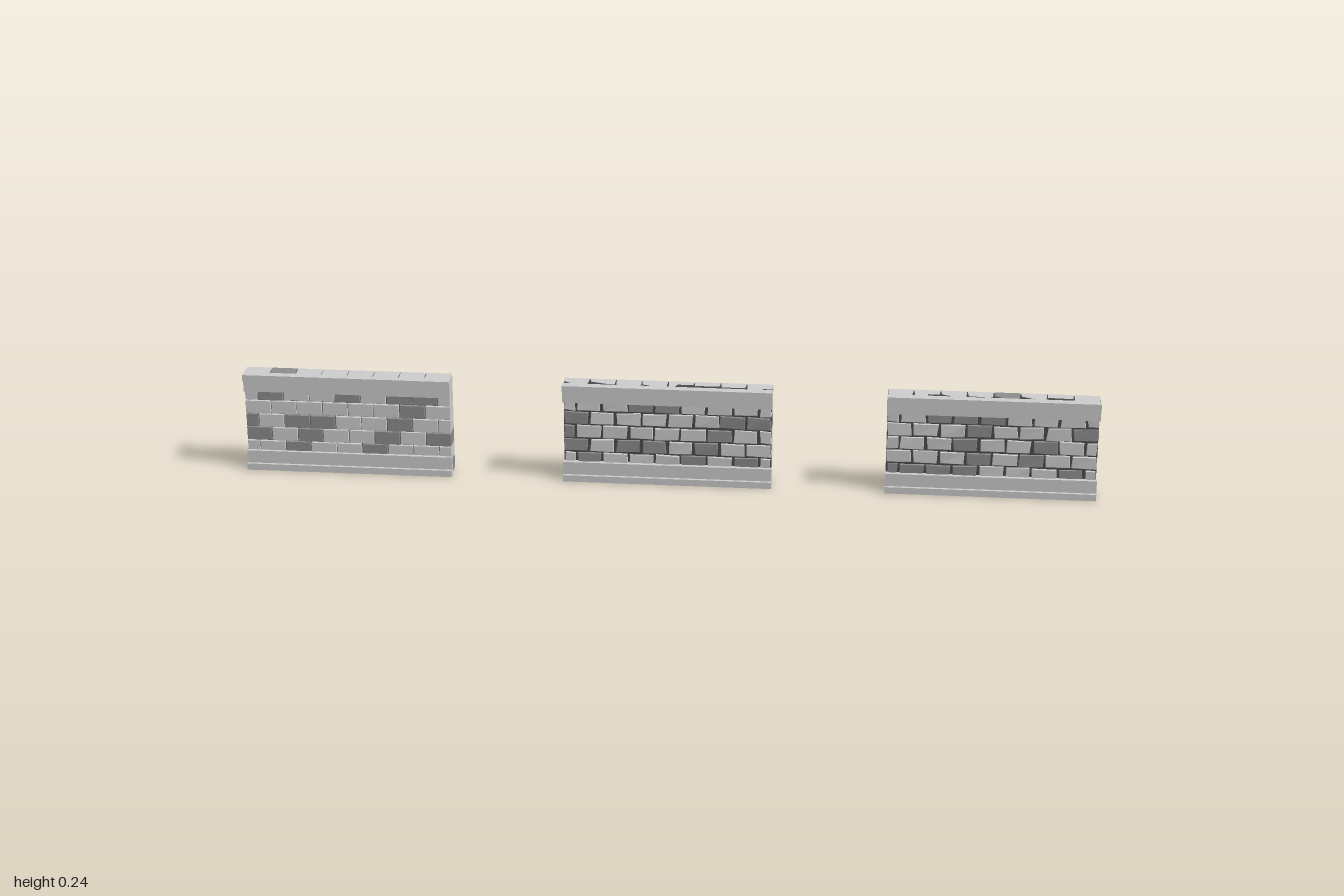
import * as THREE from 'three';
import { mergeGeometries } from 'three/addons/utils/BufferGeometryUtils.js';

const W = 0.49, H = 0.242;            // one wall panel
const ROWS = 7, COLS = 8, BASE = 0.003;
const ROW_H = (H - BASE) / ROWS, BRICK_W = W / COLS;
const BACK = -0.027, FRONT = 0.0145;
const GAP = 0.0014, BEVEL = 0.0009;

const light = new THREE.MeshStandardMaterial({ color: 0xcccccc, flatShading: true });
const dark = new THREE.MeshStandardMaterial({ color: 0x8c8c8c, flatShading: true });
const mortar = new THREE.MeshStandardMaterial({ color: 0x4a4a4a });

function seeded(seed) {
  let s = seed;
  return () => (s = (s * 16807) % 2147483647) / 2147483647;
}

// Chamfered block; wear pulls the corners of its front face in and back
function brick(x0, x1, y0, y1, wear, rnd) {
  const w = x1 - x0 - GAP - 2 * BEVEL, h = y1 - y0 - GAP - 2 * BEVEL;
  const shape = new THREE.Shape([
    new THREE.Vector2(-w / 2, -h / 2), new THREE.Vector2(w / 2, -h / 2),
    new THREE.Vector2(w / 2, h / 2), new THREE.Vector2(-w / 2, h / 2),
  ]);
  const depth = FRONT - BACK - 2 * BEVEL;
  const g = new THREE.ExtrudeGeometry(shape, {
    depth, bevelEnabled: true, bevelSize: BEVEL, bevelThickness: BEVEL, bevelSegments: 1,
  });
  const corners = Array.from({ length: 4 }, () => [rnd(), rnd(), rnd()]);
  const bulge = (rnd() - 0.4) * 0.002;
  const p = g.attributes.position;
  for (let i = 0; i < p.count; i++) {
    if (p.getZ(i) < depth / 2) continue;
    const sx = Math.sign(p.getX(i)), sy = Math.sign(p.getY(i));
    const c = corners[(sx > 0 ? 1 : 0) + (sy > 0 ? 2 : 0)];
    p.setXYZ(i, p.getX(i) - sx * c[0] * wear, p.getY(i) - sy * c[1] * wear * 0.7,
      p.getZ(i) + bulge - c[2] * wear * 0.5);
  }
  g.computeVertexNormals();
  g.translate((x0 + x1) / 2, (y0 + y1) / 2, BACK + BEVEL);
  return g;
}

// Stepped moulding, its (z, y) profile swept along x
function trim(profile, name) {
  const shape = new THREE.Shape(profile.map(([z, y]) => new THREE.Vector2(z, y)));
  const g = new THREE.ExtrudeGeometry(shape, { depth: W, bevelEnabled: false });
  g.rotateY(-Math.PI / 2).translate(W / 2, 0, 0);
  const mesh = new THREE.Mesh(g, light);
  mesh.name = name;
  return mesh;
}

function wall(name, x, wear, seed) {
  const group = new THREE.Group();
  group.name = name;
  group.position.x = x;
  const rnd = seeded(seed);

  // Running bond: odd courses are shifted half a brick
  const sets = { light: [], dark: [] };
  for (let r = 0; r < ROWS; r++) {
    const shift = r % 2 ? 0.5 : 0;
    for (let c = 0; c < COLS + (r % 2); c++) {
      const a = Math.max(0, c - shift), b = Math.min(COLS, c + 1 - shift);
      const g = brick(a * BRICK_W - W / 2, b * BRICK_W - W / 2,
        BASE + r * ROW_H, BASE + (r + 1) * ROW_H, wear, rnd);
      sets[rnd() < 0.25 ? 'dark' : 'light'].push(g);
    }
  }
  for (const [key, material] of [['light', light], ['dark', dark]]) {
    const mesh = new THREE.Mesh(mergeGeometries(sets[key]), material);
    mesh.name = key + 'Bricks';
    group.add(mesh);
  }

  // Mortar filling set back behind the brick faces
  const coreDepth = 0.034;
  const core = new THREE.Mesh(new THREE.BoxGeometry(W - 0.004, H - 0.006, coreDepth), mortar);
  core.name = 'mortarCore';
  core.position.set(0, H / 2 + 0.001, BACK + 0.002 + coreDepth / 2);
  group.add(core);

  // Plinth and coping
  group.add(trim([[0.009, 0], [0.029, 0], [0.029, 0.016], [0.022, 0.016],
    [0.022, 0.047], [0.009, 0.047]], 'plinth'));
  group.add(trim([[0.009, 0.198], [0.022, 0.198], [0.022, 0.227], [0.029, 0.227],
    [0.029, H], [0.009, H]], 'coping'));
  return group;
}

export function createModel() {
  const model = new THREE.Group();
  model.name = 'brickWallSet';
  model.add(
    wall('cleanWall', -0.755, 0.0006, 11),
    wall('wornWall', 0, 0.005, 277),
    wall('crackedWall', 0.755, 0.005, 4021),
  );
  return model;
}
